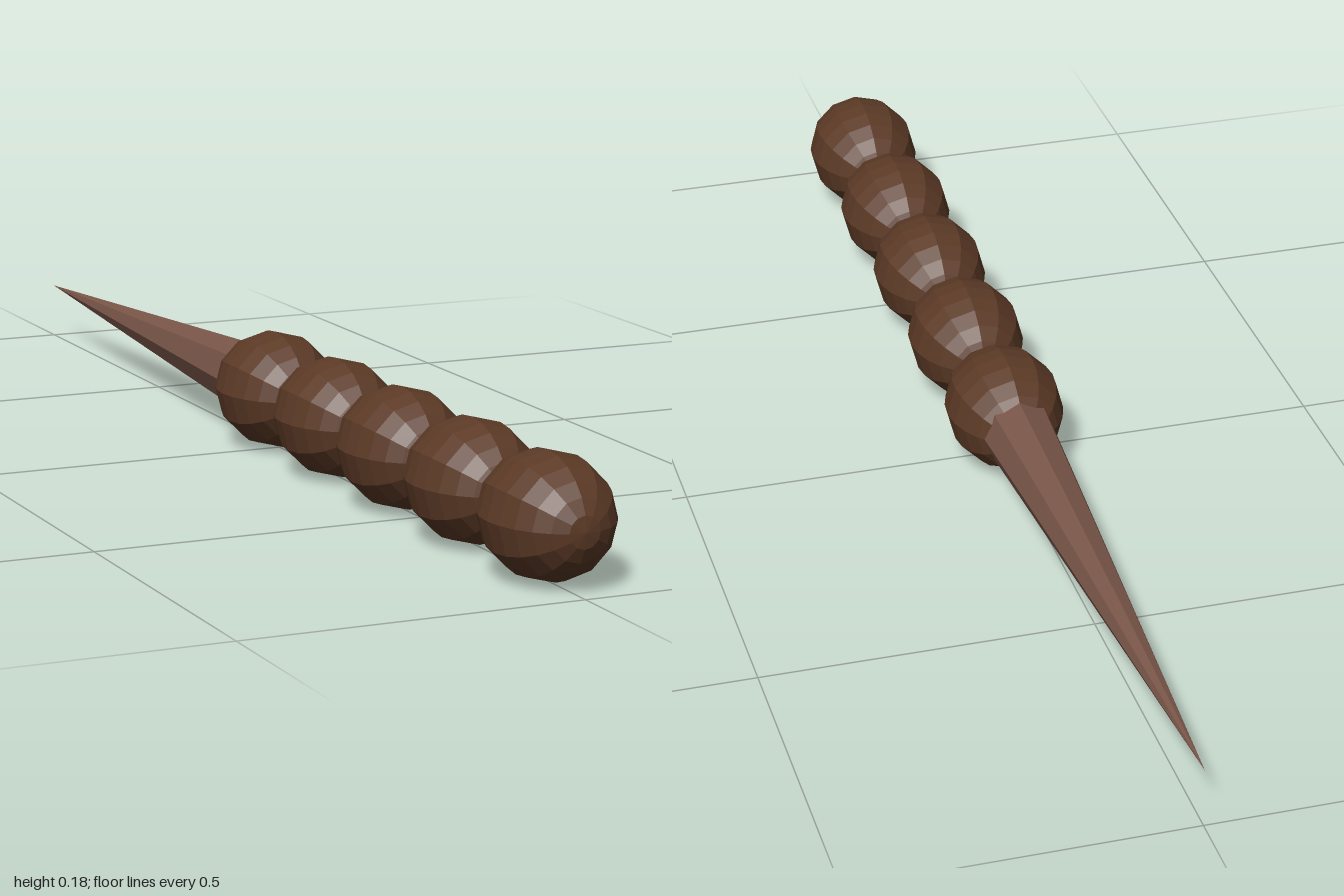
import * as THREE from 'three';

const RADIUS = 0.09, HALF_LENGTH = 0.113, SPACING = 0.2255;

export function createModel() {
  const model = new THREE.Group();
  model.name = 'beadedSpike';

  const beadBrown = new THREE.MeshStandardMaterial({ color: 0x5c3a26, flatShading: true });
  beadBrown.name = 'dark brown';
  const spikeBrown = new THREE.MeshStandardMaterial({ color: 0x795548, flatShading: true });
  spikeBrown.name = 'light brown';

  // Row of faceted beads, stretched along z with their poles on the axis
  const beadGeometry = new THREE.SphereGeometry(1, 12, 12);
  beadGeometry.rotateX(Math.PI / 2);
  beadGeometry.scale(RADIUS, RADIUS, HALF_LENGTH);
  for (let i = 0; i < 5; i++) {
    const bead = new THREE.Mesh(beadGeometry, beadBrown);
    bead.name = `bead${i + 1}`;
    bead.position.set(0, RADIUS, 1 - HALF_LENGTH - i * SPACING);
    model.add(bead);
  }

  // Long spike, its base sunk into the last bead and its tip pointing back
  const baseZ = -0.06, length = 1 + baseZ;
  const spikeGeometry = new THREE.ConeGeometry(0.058, length, 8);
  spikeGeometry.rotateX(-Math.PI / 2);
  const spike = new THREE.Mesh(spikeGeometry, spikeBrown);
  spike.name = 'spike';
  spike.position.set(0, RADIUS, baseZ - length / 2);
  model.add(spike);

  return model;
}
